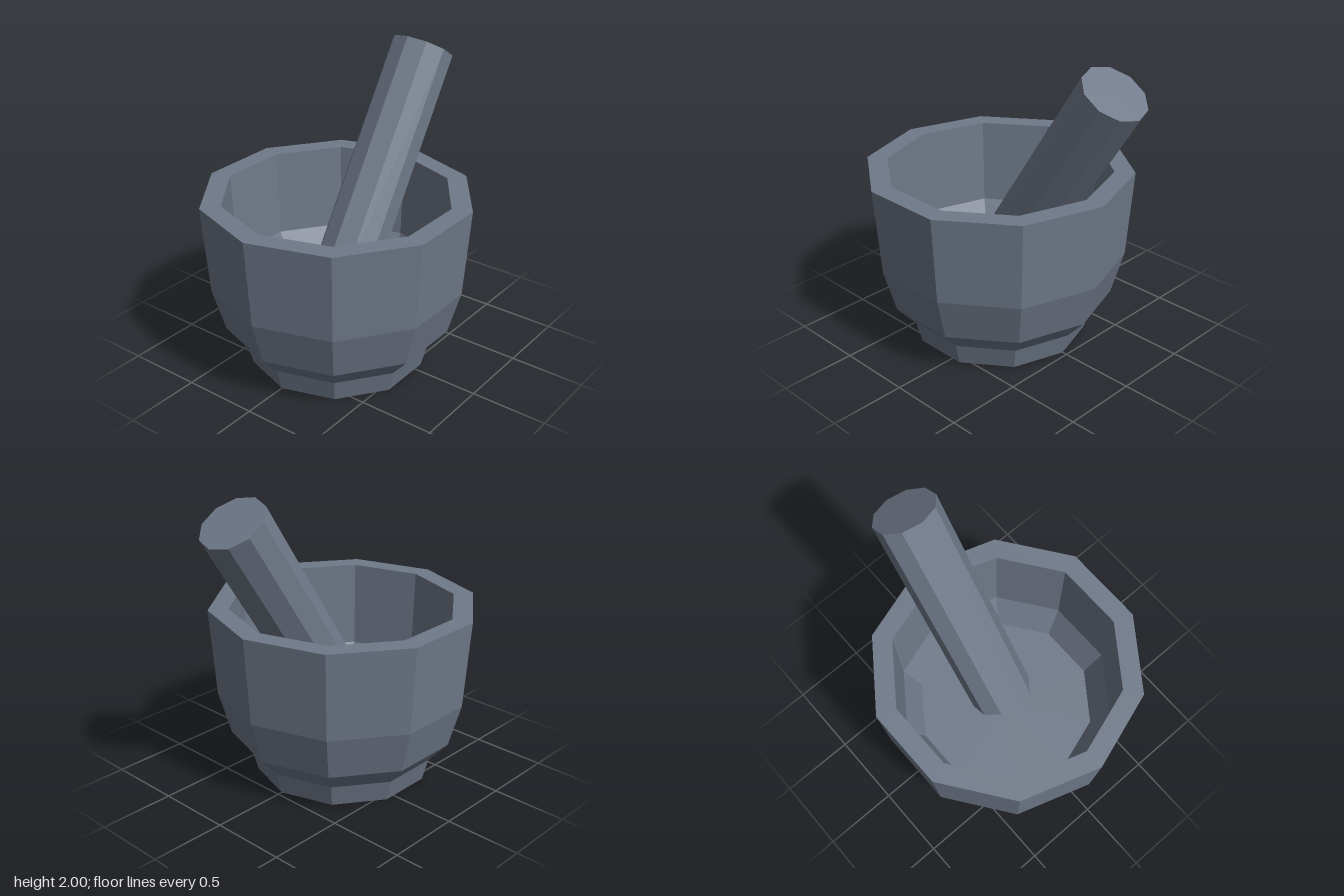
import * as THREE from 'three';

const SIDES = 10;

export function createModel() {
  const model = new THREE.Group();
  const stone = new THREE.MeshStandardMaterial({
    color: 0x6f7989, flatShading: true, side: THREE.DoubleSide,
  });

  // Mortar: one ten-sided shell, open underneath, from foot over the rim to the bowl floor
  const profile = [
    [0.58, 0], [0.62, 0.15], [0.748, 0.292], [0.83, 0.585], [0.873, 1.165], // outside
    [0.74, 1.165], [0.715, 0.585], [0.6, 0.38], [0, 0.38],                  // rim and inside
  ].map(([r, y]) => new THREE.Vector2(r, y));
  const mortar = new THREE.Mesh(new THREE.LatheGeometry(profile, SIDES), stone);
  mortar.name = 'mortar';
  mortar.position.z = 0.113;
  model.add(mortar);

  // Pestle: a plain ten-sided rod leaning backwards, resting on the bowl floor
  const bottom = new THREE.Vector3(0, 0.518, 0.068);
  const top = new THREE.Vector3(0, 1.885, -0.808);
  const axis = top.clone().sub(bottom);
  const pestle = new THREE.Mesh(
    new THREE.CylinderGeometry(0.212, 0.212, axis.length(), SIDES), stone);
  pestle.name = 'pestle';
  pestle.position.copy(bottom).add(top).multiplyScalar(0.5);
  pestle.rotation.x = Math.atan2(axis.z, axis.y);
  model.add(pestle);

  return model;
}
